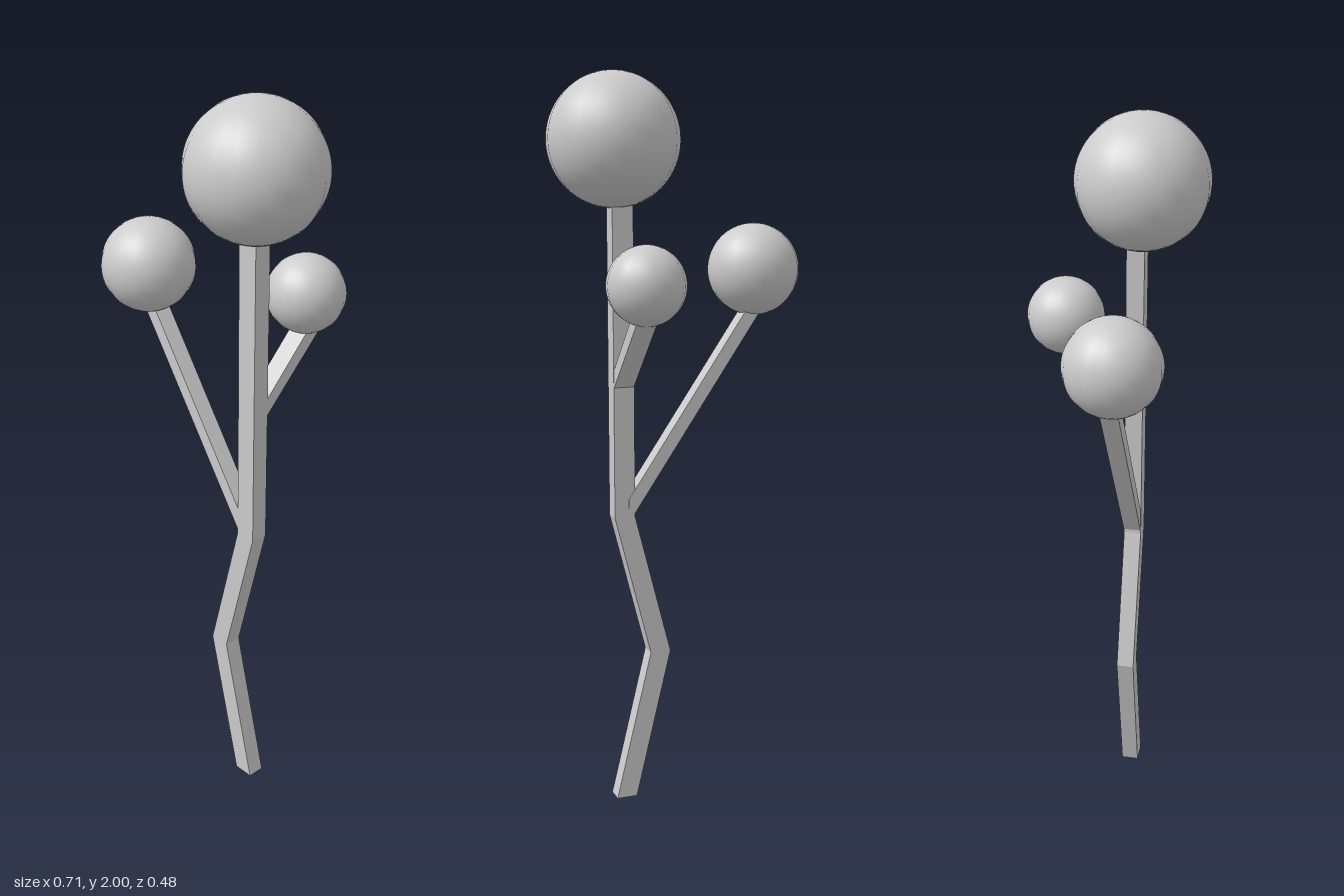
import * as THREE from 'three';

const material = new THREE.MeshStandardMaterial({ color: 0xcccccc });

// Flat-sided limb: an outline pushed out to a given depth
function limb(name, points, depth) {
  const shape = new THREE.Shape(points.map(([x, y]) => new THREE.Vector2(x, y)));
  const geometry = new THREE.ExtrudeGeometry(shape, { depth, bevelEnabled: false });
  const mesh = new THREE.Mesh(geometry, material);
  mesh.name = name;
  return mesh;
}

// Round clump of leaves
function foliage(name, radius, x, y, z) {
  const mesh = new THREE.Mesh(new THREE.SphereGeometry(radius, 18, 36), material);
  mesh.name = name;
  mesh.position.set(x, y, z);
  return mesh;
}

export function createModel() {
  const group = new THREE.Group();
  group.name = 'tree';

  // Crooked trunk: centre line with a constant horizontal width
  const half = 0.029;
  const line = [[0.162, 0], [0.06, 0.42], [0.162, 0.815], [0.162, 1.67]];
  const trunk = limb('trunk', [
    ...line.map(([x, y]) => [x + half, y]),
    ...line.map(([x, y]) => [x - half, y]).reverse(),
  ], 0.048);
  trunk.position.z = 0.028;
  group.add(trunk);

  // Thin branch leaning out to the right, rooted inside the trunk
  const sideBranch = limb('sideBranch', [
    [0.15, 0.80], [0.15, 0.865], [-0.2, 1.38], [-0.245, 1.38],
  ], 0.048);
  sideBranch.position.z = 0.027;
  group.add(sideBranch);

  // Branch leaning backwards, outlined in z and y
  const backBranch = limb('backBranch', [
    [0.045, 1.156], [0.045, 1.203], [-0.125, 1.38], [-0.178, 1.38],
  ], 0.056);
  backBranch.rotation.y = -Math.PI / 2;
  backBranch.position.x = 0.19;
  group.add(backBranch);

  // Foliage balls
  group.add(
    foliage('topFoliage', 0.177, 0.175, 1.823, 0.062),
    foliage('sideFoliage', 0.126, -0.228, 1.479, 0.062),
    foliage('backFoliage', 0.104, 0.156, 1.455, -0.139),
  );
  return group;
}
